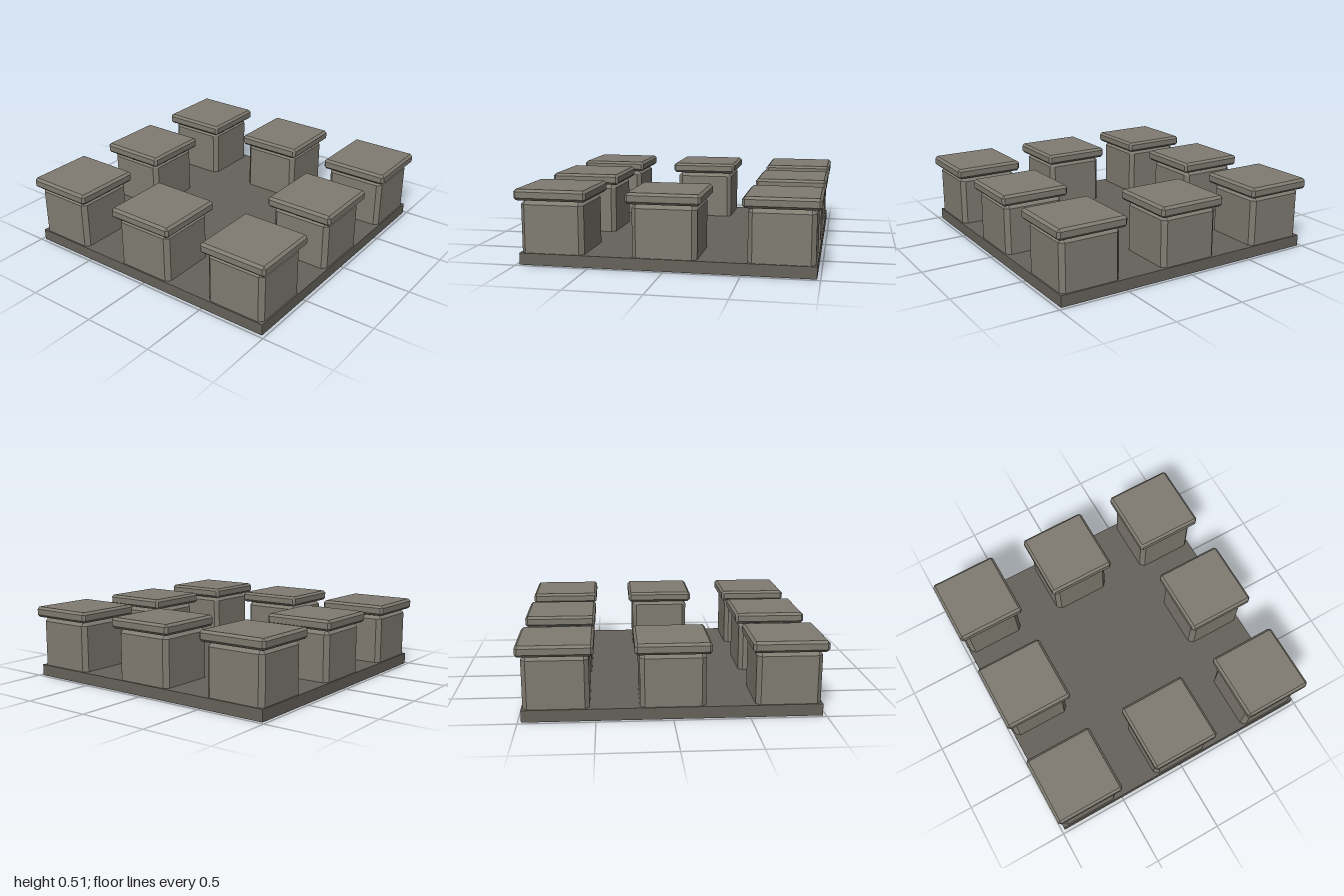
import * as THREE from 'three';
import { ConvexGeometry } from 'three/addons/geometries/ConvexGeometry.js';

const stone = new THREE.MeshStandardMaterial({ color: 0x807c72, flatShading: true });
const darkStone = new THREE.MeshStandardMaterial({ color: 0x66625b, flatShading: true });

// Box with every edge and corner cut by a flat chamfer, standing between y0 and y1
function chamferedBox(width, y0, y1, c) {
  const half = [width / 2, (y1 - y0) / 2, width / 2];
  const points = [];
  for (const sx of [-1, 1]) for (const sy of [-1, 1]) for (const sz of [-1, 1]) {
    // three points per corner, each lying on one of the faces that meet there
    for (let face = 0; face < 3; face++) {
      const [x, y, z] = half.map((h, axis) => (axis === face ? h : h - c));
      points.push(new THREE.Vector3(sx * x, sy * y, sz * z));
    }
  }
  return new ConvexGeometry(points).translate(0, (y0 + y1) / 2, 0);
}

export function createModel() {
  const model = new THREE.Group();
  model.name = 'pedestalPlatform';

  // Base slab
  const slab = new THREE.Mesh(new THREE.BoxGeometry(1.955, 0.08, 1.955).translate(0, 0.04, 0), darkStone);
  slab.name = 'baseSlab';
  model.add(slab);

  // Eight capped blocks around the rim, centre left open
  const bodyGeometry = chamferedBox(0.43, 0.03, 0.435, 0.03);
  const capGeometry = chamferedBox(0.494, 0.435, 0.51, 0.017);
  const spacing = 0.753;
  for (let row = -1; row <= 1; row++) {
    for (let column = -1; column <= 1; column++) {
      if (row === 0 && column === 0) continue;
      const block = new THREE.Group();
      block.name = 'cappedBlock';
      const body = new THREE.Mesh(bodyGeometry, stone);
      body.name = 'blockBody';
      const cap = new THREE.Mesh(capGeometry, stone);
      cap.name = 'blockCap';
      block.add(body, cap);
      block.position.set(column * spacing, 0, row * spacing);
      model.add(block);
    }
  }
  return model;
}
